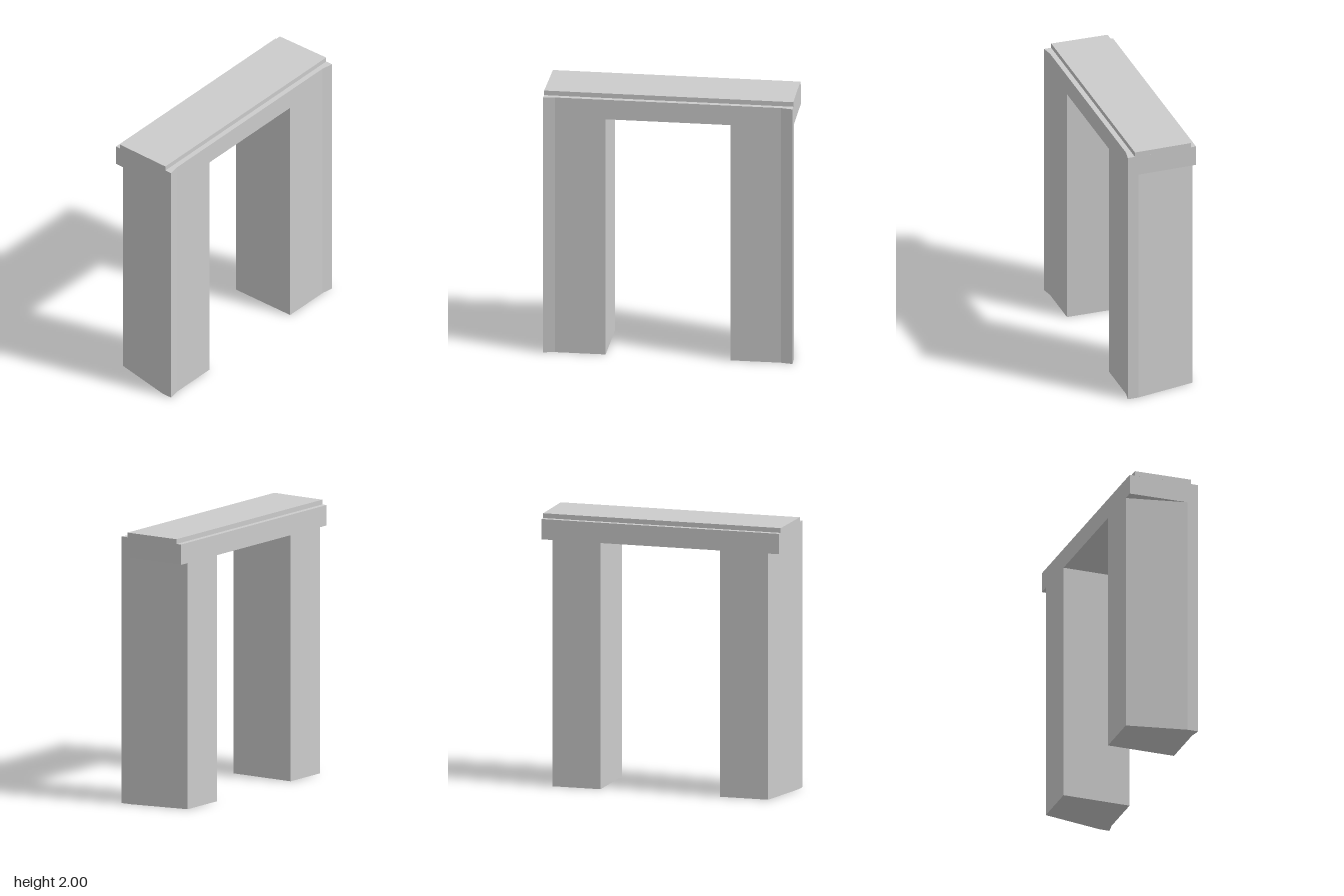
import * as THREE from 'three';

const material = new THREE.MeshStandardMaterial({ color: 0xcccccc, flatShading: true });

// Upright prism from a plan outline of [x, z] points
function prism(name, outline, bottom, top) {
  const shape = new THREE.Shape(outline.map(([x, z]) => new THREE.Vector2(x, -z)));
  const geometry = new THREE.ExtrudeGeometry(shape, { depth: top - bottom, bevelEnabled: false });
  geometry.rotateX(-Math.PI / 2);
  geometry.translate(0, bottom, 0);
  const mesh = new THREE.Mesh(geometry, material);
  mesh.name = name;
  return mesh;
}

const mirrorX = (points) => points.map(([x, z]) => [-x, z]).reverse();

export function createModel() {
  const group = new THREE.Group();
  group.name = 'gateway';
  const underside = 1.815, ledge = 1.965, top = 2;
  const front = 0.247, tip = 0.263, back = -0.263;

  // Pillars: flared front corner, outer side tapering inward to the back
  const pillar = [
    [0.455, back], [0.455, front], [0.823, front],
    [0.91, tip], [0.9088, 0.18], [0.82, back],
  ];
  group.add(prism('leftPillar', pillar, 0, underside));
  group.add(prism('rightPillar', mirrorX(pillar), 0, underside));

  // Lintel: same flared front, overhanging the pillars at the back corners
  const lintelHalf = [[0.823, front], [0.91, tip], [0.902, back]];
  group.add(prism('lintel', [...lintelHalf, ...mirrorX(lintelHalf)], underside, ledge));

  // Cap: thin slab set back from the front and rear edges
  const capHalf = [[0.909, 0.208], [0.903, -0.223]];
  group.add(prism('cap', [...capHalf, ...mirrorX(capHalf)], ledge, top));

  return group;
}
